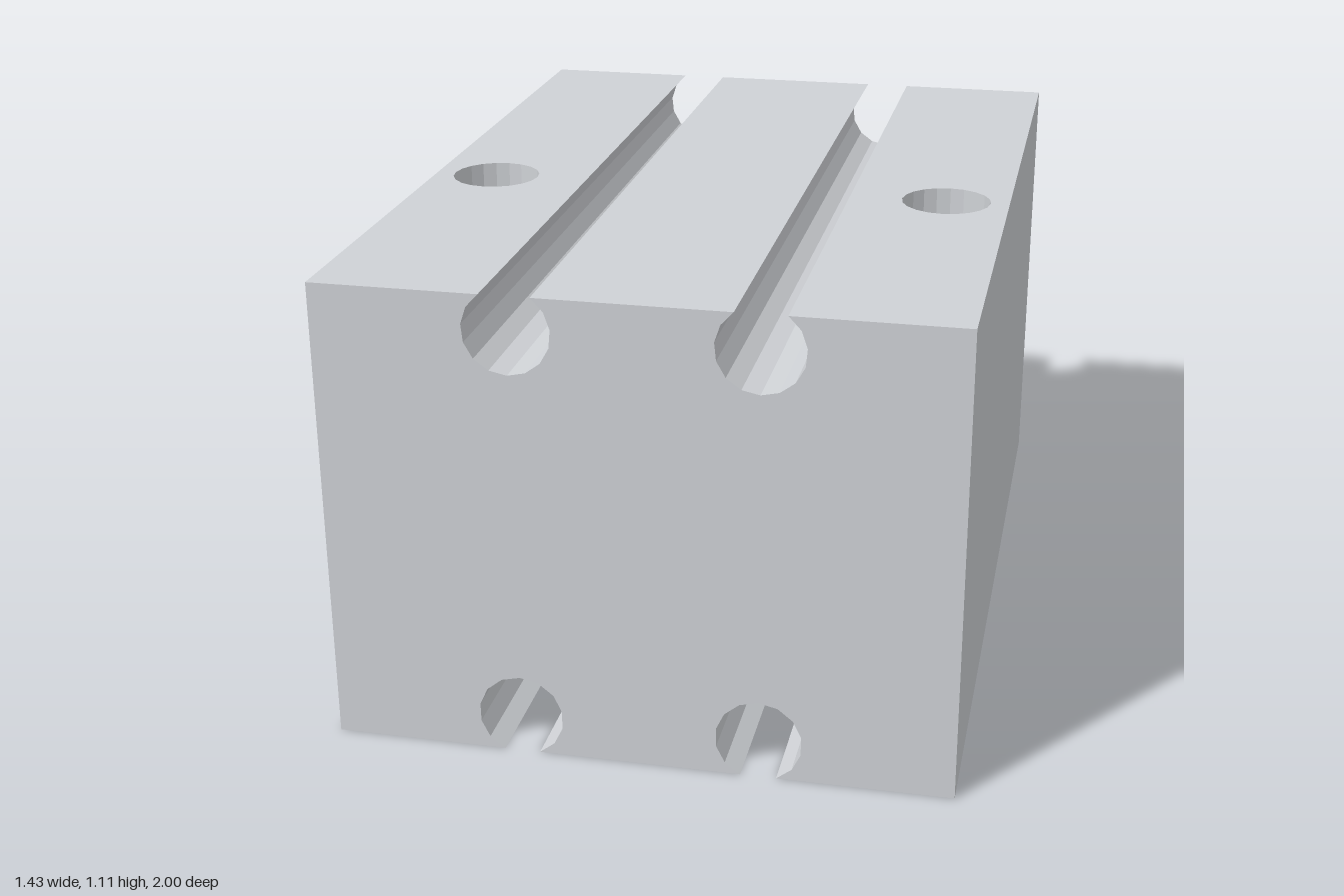
import * as THREE from 'three';

const W = 0.717, H = 1.106, D = 1;              // half width, height, half depth
const GROOVE = { x: 0.275, r: 0.099, top: 1.025, bottom: 0.09, sides: 12 };
const HOLE = { x: 0.565, z: 0.13, r: 0.107, sides: 20 };
const BORE = { r: 0.4, y: H / 2, sides: 32 };

// Points of one round groove, walked clockwise so it cuts into the outline
function groovePoints(cx, cy, from, to) {
  const points = [];
  for (let i = 0; i <= GROOVE.sides; i++) {
    const a = from + (to - from) * i / GROOVE.sides;
    points.push(new THREE.Vector2(cx + GROOVE.r * Math.cos(a), cy + GROOVE.r * Math.sin(a)));
  }
  return points;
}

// Counterclockwise cross-section of the block with its four grooves
function blockOutline() {
  const a = Math.asin((H - GROOVE.top) / GROOVE.r), b = Math.asin(GROOVE.bottom / GROOVE.r);
  const low = (s) => groovePoints(s * GROOVE.x, GROOVE.bottom, Math.PI + b, -b);
  const high = (s) => groovePoints(s * GROOVE.x, GROOVE.top, a, -Math.PI - a);
  return [
    new THREE.Vector2(-W, 0), ...low(-1), ...low(1), new THREE.Vector2(W, 0),
    new THREE.Vector2(W, H), ...high(1), ...high(-1), new THREE.Vector2(-W, H),
  ];
}

function roundHole(x, y, r) {
  return new THREE.Path().absarc(x, y, r, 0, Math.PI * 2, true);
}

export function createModel() {
  const group = new THREE.Group();
  const metal = new THREE.MeshStandardMaterial({ color: 0xcfd2d6, flatShading: true });
  metal.name = 'light grey metal';
  const add = (name, geometry, x = 0, y = 0, z = 0) => {
    const mesh = new THREE.Mesh(geometry, metal);
    mesh.name = name;
    mesh.position.set(x, y, z);
    group.add(mesh);
  };

  const outline = blockOutline();

  // End faces; the back one is opened for the bore (arcs get two points per segment)
  add('frontFace', new THREE.ShapeGeometry(new THREE.Shape(outline)), 0, 0, D);
  const backShape = new THREE.Shape(outline);
  backShape.holes.push(roundHole(0, BORE.y, BORE.r));
  add('backFace', new THREE.ShapeGeometry(backShape, BORE.sides / 2).rotateY(Math.PI), 0, 0, -D);

  // Long walls along z; the outer top and bottom strips get a bolt hole
  const walls = [];
  outline.forEach((p, i) => {
    const q = outline[(i + 1) % outline.length];
    const mid = (p.x + q.x) / 2;
    if (p.y === q.y || (Math.abs(mid) > 0.42 && Math.abs(mid) < W - 0.01)) {
      const top = p.y > H / 2, dir = top ? -1 : 1;
      const x0 = Math.min(p.x, q.x), x1 = Math.max(p.x, q.x);
      const strip = new THREE.Shape([
        new THREE.Vector2(x0, -D), new THREE.Vector2(x1, -D),
        new THREE.Vector2(x1, D), new THREE.Vector2(x0, D),
      ]);
      if (Math.abs(mid) > 0.42) {
        strip.holes.push(roundHole(Math.sign(mid) * HOLE.x, dir * HOLE.z, HOLE.r));
      }
      add(top ? 'topStrip' : 'bottomStrip',
        new THREE.ShapeGeometry(strip, HOLE.sides / 2).rotateX(dir * Math.PI / 2), 0, top ? H : 0, 0);
    } else {
      walls.push(p.x, p.y, -D, q.x, q.y, -D, q.x, q.y, D);
      walls.push(p.x, p.y, -D, q.x, q.y, D, p.x, p.y, D);
    }
  });
  const wallGeometry = new THREE.BufferGeometry();
  wallGeometry.setAttribute('position', new THREE.Float32BufferAttribute(walls, 3));
  wallGeometry.computeVertexNormals();
  add('grooveAndSideWalls', wallGeometry);

  // Bolt holes right through; top-down profile makes the faces look inward
  for (const s of [-1, 1]) {
    const profile = [new THREE.Vector2(HOLE.r, H), new THREE.Vector2(HOLE.r, 0)];
    add(s > 0 ? 'leftBoltHole' : 'rightBoltHole',
      new THREE.LatheGeometry(profile, HOLE.sides), s * HOLE.x, 0, HOLE.z);
  }

  // Stepped bore with a dished floor, opening to the back
  const bore = [[BORE.r, 0], [BORE.r, -0.11], [0.385, -0.11], [0.385, -0.21], [0.19, -0.27], [0, -0.29]]
    .map(([r, y]) => new THREE.Vector2(r, y));
  add('bore', new THREE.LatheGeometry(bore, BORE.sides).rotateX(-Math.PI / 2), 0, BORE.y, -D);

  return group;
}
